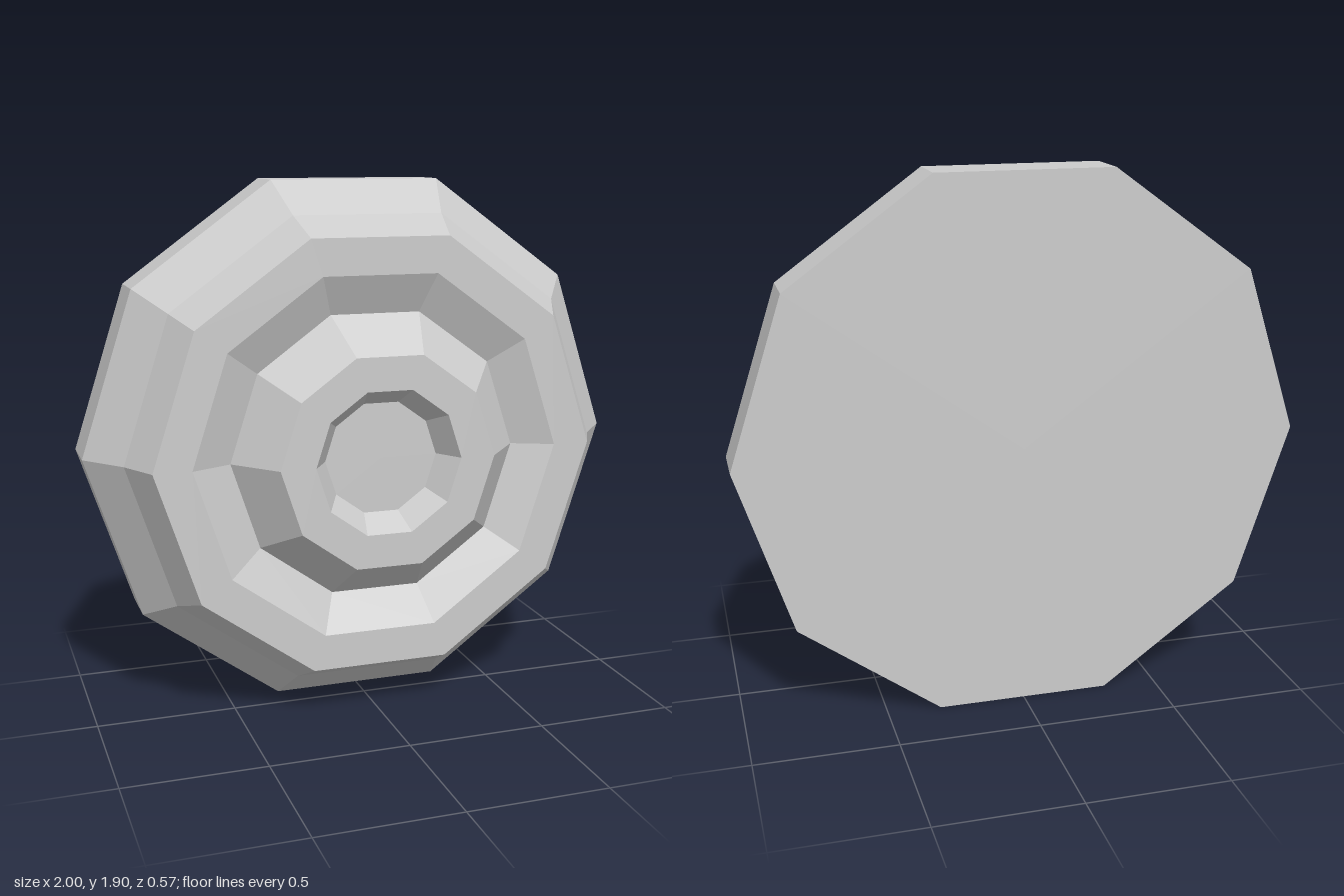
import * as THREE from 'three';

const SIDES = 10;
const CENTRE_Y = Math.cos(Math.PI / SIDES); // apothem of the unit decagon

// Turn a [radius, z] profile, listed from back to front, into a faceted ring about z
function turned(name, profile, material) {
  const points = profile.map(([r, z]) => new THREE.Vector2(r, z));
  const lathe = new THREE.LatheGeometry(points, SIDES, Math.PI / 2);
  lathe.rotateX(Math.PI / 2);
  const geometry = lathe.toNonIndexed();
  geometry.computeVertexNormals();
  const mesh = new THREE.Mesh(geometry, material);
  mesh.name = name;
  mesh.position.y = CENTRE_Y;
  return mesh;
}

export function createModel() {
  const model = new THREE.Group();
  model.name = 'steppedDisc';
  const grey = new THREE.MeshStandardMaterial({ color: 0xcccccc, flatShading: true });

  // Flat back and straight outer edge
  model.add(turned('backPlate', [[0, -0.285], [1, -0.285], [1, -0.1]], grey));
  // Two-step bevel up to the flat outer ring
  model.add(turned('outerRing', [[1, -0.1], [0.878, 0.05], [0.805, 0.19], [0.67, 0.19]], grey));
  // Inner wall of the V groove
  model.add(turned('groove', [[0.67, 0.19], [0.525, 0.125]], grey));
  // Raised hub rising out of the groove
  model.add(turned('hub', [[0.525, 0.125], [0.39, 0.285], [0.265, 0.285]], grey));
  // Shallow dish in the middle of the hub
  model.add(turned('centreDish', [[0.265, 0.285], [0.205, 0.19], [0, 0.19]], grey));

  return model;
}
